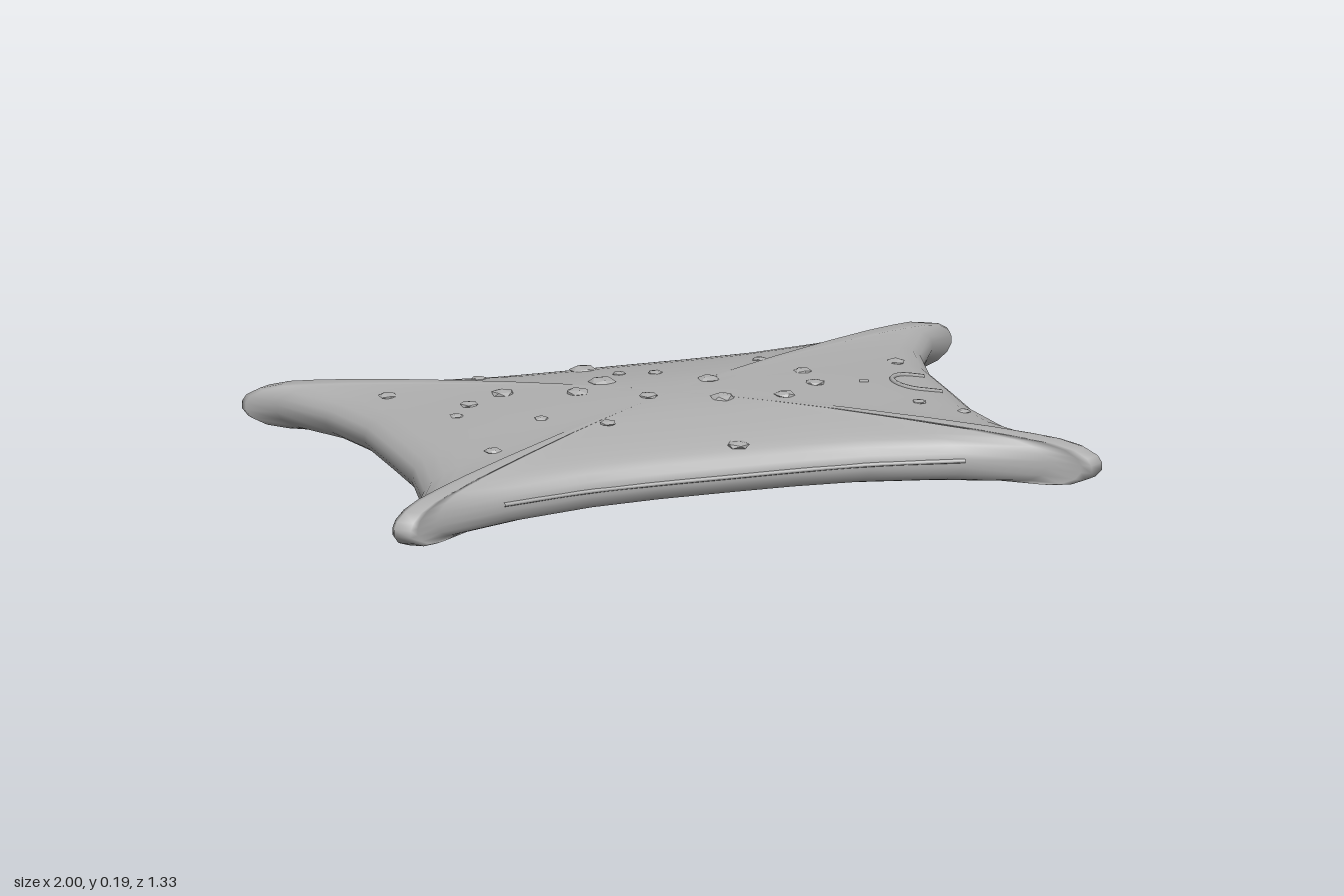
import * as THREE from 'three';
import { mergeVertices } from 'three/addons/utils/BufferGeometryUtils.js';

const grey = new THREE.MeshStandardMaterial({ color: 0xb0b0b0 });
grey.name = 'grey';

// One quarter of the pincushion outline: x, z, lift (1 at mid edge, 0 at corner)
const quarter = [
  [0.80, 0, 1], [0.80, 0.2, 0.9], [0.84, 0.4, 0.5], [0.925, 0.57, 0.1], [0.995, 0.617, 0],
  [0.998, 0.64, 0], [0.96, 0.665, 0], [0.935, 0.65, 0], [0.86, 0.59, 0.1], [0.65, 0.525, 0.5],
  [0.40, 0.48, 0.8], [0.20, 0.47, 0.95], [0, 0.47, 1],
];
const flip = (pts, sx, sz) => pts.map(([x, z, m]) => [x * sx, z * sz, m]);
const half = [...quarter, ...flip(quarter.slice(0, -1).reverse(), -1, 1)];
const outline = [...half, ...flip(half.slice(1, -1).reverse(), 1, -1)];

// Height profile from the top centre, round the rim, to the bottom centre: scale, y
const profile = [
  [0, 0.175], [0.1, 0.175], [0.25, 0.171], [0.4, 0.164], [0.6, 0.15], [0.75, 0.137],
  [0.85, 0.125], [0.91, 0.116], [0.96, 0.101], [0.99, 0.081], [1, 0.062], [1, 0.042],
  [0.985, 0.022], [0.95, 0.006], [0.9, 0], [0.6, 0.004], [0.3, 0.009], [0, 0.012],
];
const LIFT = 0.012;

// Height of the top surface above a point
function topHeight(x, z) {
  for (let i = 0; i < outline.length; i++) {
    const [ax, az, am] = outline[i];
    const [bx, bz, bm] = outline[(i + 1) % outline.length];
    const det = ax * bz - az * bx;
    const p = (x * bz - z * bx) / det, q = (ax * z - az * x) / det;
    if (p < -1e-9 || q < -1e-9) continue;
    const s = p + q;
    const lift = LIFT * (p * am + q * bm);
    for (let k = 1; k < 11; k++) {
      const [s0, y0] = profile[k - 1], [s1, y1] = profile[k];
      if (s <= s1) return y0 + (y1 - y0) * (s - s0) / (s1 - s0) + lift;
    }
  }
  return 0.06;
}

// Pillow body: scaled copies of the outline, whose corners form the diagonal ridges
function bodyGeometry() {
  const n = outline.length, pos = [], index = [];
  for (const [s, y] of profile)
    for (const [x, z, m] of outline) pos.push(x * s, y + LIFT * m * s, z * s);
  for (let r = 0; r < profile.length - 1; r++)
    for (let i = 0; i < n; i++) {
      const j = (i + 1) % n, a = r * n + i, b = r * n + j, c = a + n, d = b + n;
      if (r > 0) index.push(a, b, c);
      if (r < profile.length - 2) index.push(b, d, c);
      else continue;
    }
  let g = new THREE.BufferGeometry();
  g.setAttribute('position', new THREE.Float32BufferAttribute(pos, 3));
  g.setIndex(index);
  g = mergeVertices(g);
  g.computeVertexNormals();
  return g;
}

// Crumbs on the top: x, z, radius
const crumbs = [
  [-0.69, -0.33, 0.028], [-0.42, -0.37, 0.022], [-0.13, -0.36, 0.039], [-0.42, -0.17, 0.034],
  [-0.53, -0.125, 0.028], [-0.59, -0.05, 0.021], [-0.24, -0.08, 0.034], [-0.145, -0.155, 0.039],
  [-0.07, -0.235, 0.02], [0.02, -0.2, 0.021], [0.13, -0.08, 0.031], [0.33, -0.25, 0.02],
  [0.405, -0.11, 0.026], [0.40, 0.01, 0.028], [0.28, 0.11, 0.03], [0.11, 0.095, 0.035],
  [-0.075, 0.025, 0.028], [-0.40, 0.095, 0.021], [-0.25, 0.205, 0.025], [-0.60, 0.285, 0.026],
  [0.05, 0.405, 0.033], [0.63, 0.2, 0.021], [0.73, 0.275, 0.02], [0.70, -0.21, 0.028],
];

function tube(points, radius, segments) {
  const path = new THREE.CatmullRomCurve3(points.map((p) => new THREE.Vector3(...p)));
  return new THREE.TubeGeometry(path, segments, radius, 6);
}

export function createModel() {
  const group = new THREE.Group();
  const add = (name, geometry) => {
    const mesh = new THREE.Mesh(geometry, grey);
    mesh.name = name;
    group.add(mesh);
    return mesh;
  };

  add('pillowBody', bodyGeometry());

  // Small faceted crumbs, flattened and half sunk
  crumbs.forEach(([x, z, r], i) => {
    const g = new THREE.IcosahedronGeometry(r, 0);
    g.rotateX(i * 1.3).rotateY(i * 2.1).scale(1, 0.3, 1);
    g.computeVertexNormals();
    add('crumb', g).position.set(x, topHeight(x, z) + 0.001, z);
  });

  // Raised seam along the front rim
  const seam = outline.filter(([x, z]) => z > 0.4 && Math.abs(x) < 0.66)
    .map(([x, z]) => [x, 0.067, z + 0.001]);
  add('frontSeam', tube(seam, 0.006, 48));

  // Small raised loop near the left edge, with a dash beside it
  const loop = [];
  for (let i = 0; i <= 12; i++) {
    const a = Math.PI * (0.5 + i / 12);
    loop.push([0.69 + 0.065 * Math.cos(a), 0.075 * Math.sin(a)]);
  }
  loop.unshift([0.735, 0.075]);
  loop.push([0.735, -0.075]);
  add('raisedLoop', tube(loop.map(([x, z]) => [x, topHeight(x, z) + 0.001, z]), 0.007, 40));
  const dash = [0.527, 0.54, 0.553].map((x) => [x, topHeight(x, 0), 0]);
  add('raisedDash', tube(dash, 0.005, 4));

  return group;
}
